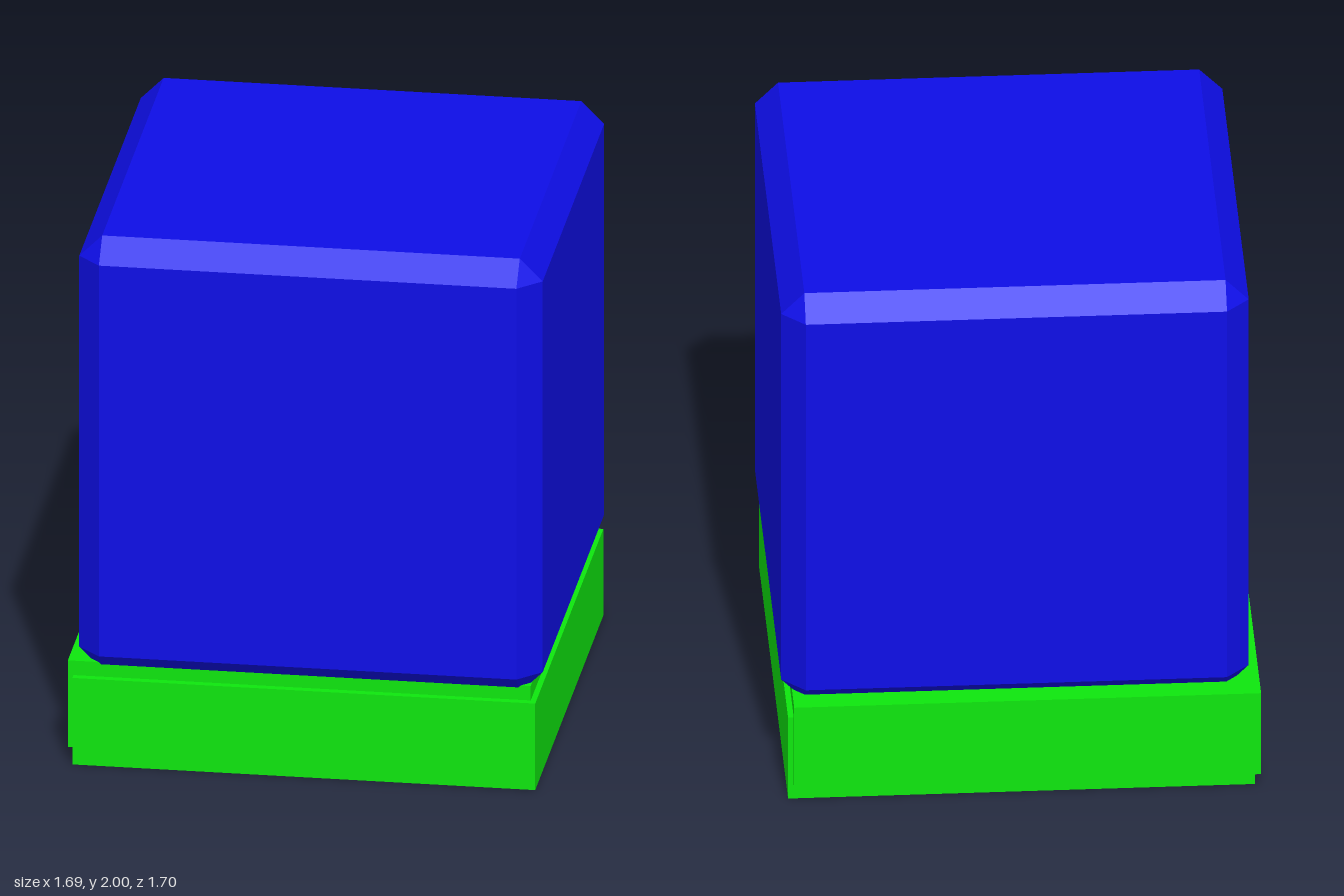
import * as THREE from 'three';
import { ConvexGeometry } from 'three/addons/geometries/ConvexGeometry.js';

// Cube with every edge and corner cut flat
function chamferedCube(size, cut) {
  const h = size / 2, k = h - cut, points = [];
  for (const x of [-1, 1]) for (const y of [-1, 1]) for (const z of [-1, 1]) {
    points.push(
      new THREE.Vector3(x * h, y * k, z * k),
      new THREE.Vector3(x * k, y * h, z * k),
      new THREE.Vector3(x * k, y * k, z * h)
    );
  }
  return new ConvexGeometry(points);
}

export function createModel() {
  const model = new THREE.Group();
  const blue = new THREE.MeshStandardMaterial({ color: 0x0e0ee7, flatShading: true });
  const green = new THREE.MeshStandardMaterial({ color: 0x0ee70e, flatShading: true });

  const add = (name, geometry, material, x, y, z) => {
    const mesh = new THREE.Mesh(geometry, material);
    mesh.name = name;
    mesh.position.set(x, y, z);
    model.add(mesh);
  };

  // Two overlapping, slightly offset slabs form the base
  const slab = new THREE.BoxGeometry(1.653, 0.33, 1.653);
  add('lowerSlab', slab, green, 0, 0.165, 0.002);
  add('upperSlab', slab, green, -0.02, 0.22, -0.025);

  // Bevelled block, its bottom bevel sunk into the base
  add('block', chamferedCube(1.655, 0.082), blue, 0.017, 1.1725, 0.024);

  return model;
}
